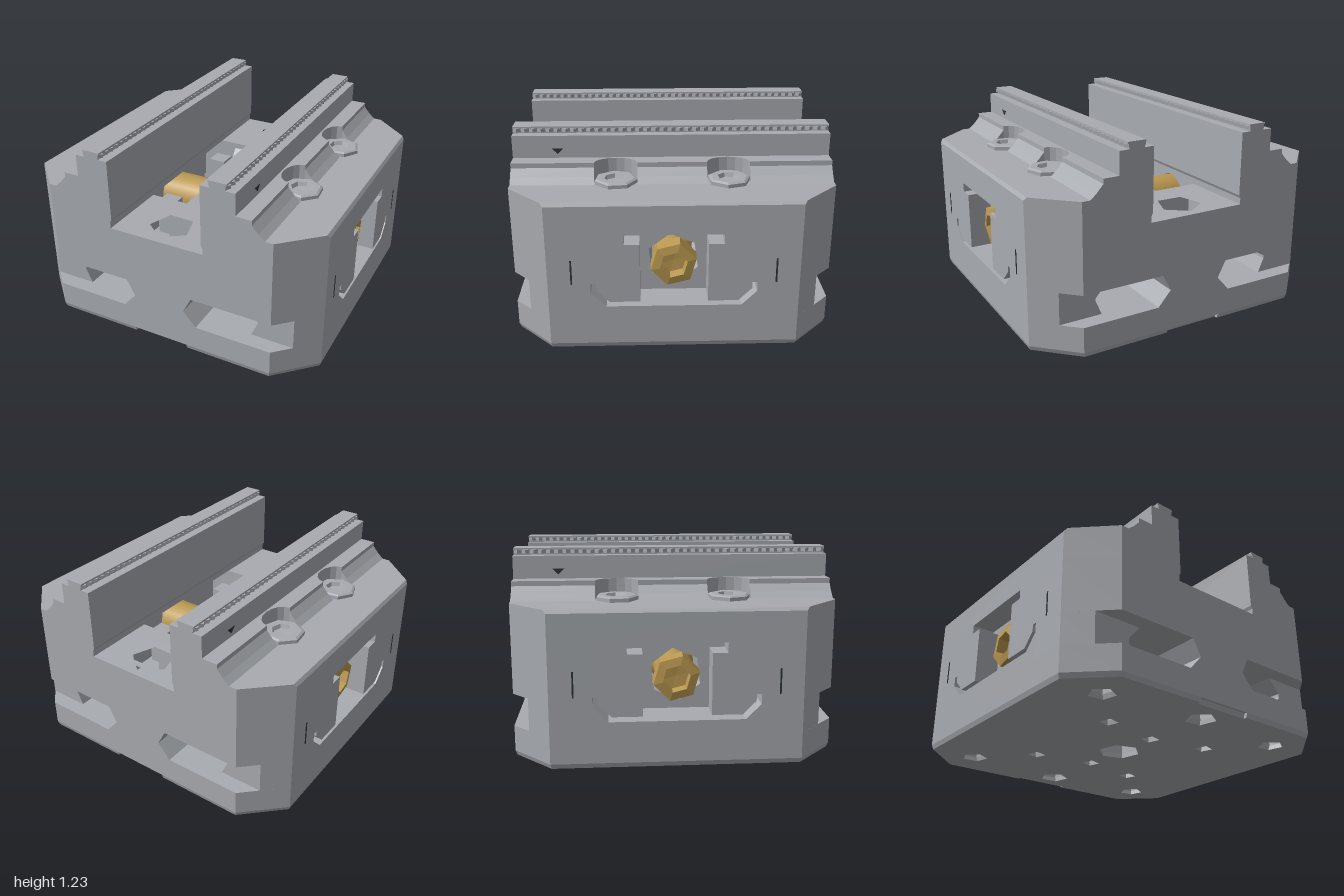
import * as THREE from 'three';

const mat = (name, color) => Object.assign(new THREE.MeshStandardMaterial({ color }), { name });

export function createModel() {
  const steel = mat('steel grey', 0xa8abb0);
  const brass = mat('brass', 0xba9850);
  const dark = mat('dark recess', 0x2b3634);
  const model = new THREE.Group();
  model.name = 'centringVise';

  // ---- helpers ----
  const add = (parent, name, geo, material = steel) => {
    const m = new THREE.Mesh(geo, material);
    m.name = name;
    parent.add(m);
    return m;
  };
  const box = (x0, x1, y0, y1, z0, z1) =>
    new THREE.BoxGeometry(x1 - x0, y1 - y0, z1 - z0).translate((x0 + x1) / 2, (y0 + y1) / 2, (z0 + z1) / 2);
  const ngon = (cx, cy, r, n = 6, turn = 0) => Array.from({ length: n }, (_, i) => {
    const a = turn + (i / n) * Math.PI * 2;
    return [cx + r * Math.cos(a), cy + r * Math.sin(a)];
  });
  const extrude = (pts, depth, holes = [], flip = 1, flipY = 1) => {
    const v = (list) => list.map(([a, b]) => new THREE.Vector2(a * flip, b * flipY));
    const s = new THREE.Shape(v(pts));
    holes.forEach((h) => s.holes.push(new THREE.Path(v(h))));
    return new THREE.ExtrudeGeometry(s, { depth, bevelEnabled: false });
  };
  // [x, z] outline raised in y; [x, y] outline run along z; [z, y] outline run along x
  const plan = (pts, y0, y1, holes) => extrude(pts, y1 - y0, holes, 1, -1).rotateX(-Math.PI / 2).translate(0, y0, 0);
  const front = (pts, z0, z1, holes) => extrude(pts, z1 - z0, holes).translate(0, 0, z0);
  const side = (pts, x0, x1, holes) => extrude(pts, x1 - x0, holes, -1).rotateY(Math.PI / 2).translate(x0, 0, 0);
  const lathe = (pts, n) => new THREE.LatheGeometry(pts.map(([r, y]) => new THREE.Vector2(r, y)), n);
  const flat = (geo) => {
    const g = geo.toNonIndexed();
    g.computeVertexNormals();
    return g;
  };
  const mirrorPts = (half) => [...half, ...half.map(([a, b]) => [-a, b]).reverse()];

  // ---- base plate with drilled underside ----
  const holes = [ngon(0, 0, 0.14, 6, 0.3)];
  for (const s of [-1, 1]) {
    holes.push(ngon(0, s * 0.78, 0.1, 5, 0.4), ngon(0, s * 0.32, 0.06, 4, 0.5));
    for (const t of [-1, 1]) holes.push(ngon(s * 0.7, t * 0.72, 0.085, 5, 0.4), ngon(s * 0.4, t * 0.4, 0.06, 4, 0.5));
  }
  const halfOct = [[0.76, 0.97], [1, 0.74], [1, -0.74], [0.76, -0.97]];
  const notched = [[0.19, 0.95], [0.19, 0.97], ...halfOct, [0.19, -0.97], [0.19, -0.95]];
  const foot = plan(mirrorPts(notched), 0, 0.03, holes);
  const fp = foot.attributes.position;
  for (let i = 0; i < fp.count; i++) { // bevelled lower edge
    if (fp.getY(i) < 0.01) fp.setXYZ(i, fp.getX(i) * 0.99, 0, fp.getZ(i) * 0.99);
  }
  foot.computeVertexNormals();
  add(model, 'foot', foot);
  add(model, 'base', plan(mirrorPts(halfOct), 0.03, 0.19, holes));
  add(model, 'tunnelFloor', box(-1, 1, 0.19, 0.28, -0.49, 0.49));

  // ---- front and back beams with clamping slots ----
  for (const turn of [0, Math.PI]) {
    const beam = new THREE.Group();
    beam.name = turn ? 'backBeam' : 'frontBeam';
    beam.rotation.y = turn;
    model.add(beam);
    const bolt = ngon(0, 0.78, 0.14, 5, 0.35);
    add(beam, 'upperBeam', plan(mirrorPts([[1, 0.49], [1, 0.74], [0.76, 0.97]]), 0.39, 0.74, [bolt]));
    add(beam, 'centrePillar', plan([[-0.175, 0.49], [0.175, 0.49], [0.175, 0.97], [-0.175, 0.97]], 0.19, 0.39, [bolt]));
    for (const s of [-1, 1]) {
      const fx = (pts) => pts.map(([x, y]) => [x * s, y]);
      // slanted slot ends
      add(beam, 'slotEndUpper', front(fx([[0.175, 0.285], [0.23, 0.39], [0.175, 0.39]]), 0.49, 0.97));
      add(beam, 'slotEndLower', front(fx([[0.175, 0.285], [0.175, 0.19], [0.26, 0.19]]), 0.49, 0.97));
      add(beam, 'outerEndUpper', front(fx([[0.63, 0.3], [0.63, 0.39], [0.55, 0.39]]), 0.49, 0.87));
      add(beam, 'outerEndLower', front(fx([[0.63, 0.28], [0.59, 0.19], [0.63, 0.19]]), 0.49, 0.87));
      // notched corner
      add(beam, 'corner', plan(fx([[0.63, 0.49], [1, 0.49], [1, 0.74], [0.864, 0.87], [0.63, 0.87]]), 0.19, 0.39));
    }
  }

  // ---- jaws, built on +x and turned for the other side ----
  for (const turn of [0, Math.PI]) {
    const jaw = new THREE.Group();
    jaw.name = turn ? 'rightJaw' : 'leftJaw';
    jaw.rotation.y = turn;
    model.add(jaw);

    // upright wall and base slab
    add(jaw, 'jawWall', front([[0.32, 0.74], [0.76, 0.74], [0.76, 0.94], [0.53, 0.94], [0.53, 1.19],
      [0.31, 1.19], [0.31, 0.8], [0.32, 0.78]], -0.97, 0.97));
    const wing = front([[0.76, 0.74], [1, 0.74], [1, 0.92], [0.985, 0.94], [0.76, 0.94]], -0.97, 0.97);
    const wp = wing.attributes.position;
    for (let i = 0; i < wp.count; i++) { // chamfered corners
      const z = 0.97 - (wp.getX(i) - 0.76) * 0.958;
      wp.setZ(i, Math.sign(wp.getZ(i)) * z);
    }
    wing.computeVertexNormals();
    add(jaw, 'jawWing', wing);

    // step with bolt recesses and the ramps between them
    const arc = (c) => Array.from({ length: 9 }, (_, i) => {
      const a = (i / 8) * Math.PI;
      return [0.63 - 0.09 * Math.sin(a), c + 0.13 * Math.cos(a)];
    });
    add(jaw, 'jawStep', plan([[0.53, -0.97], [0.53, 0.97], [0.63, 0.97], ...arc(0.34), ...arc(-0.34), [0.63, -0.97]], 0.94, 1.05));
    for (const [z0, z1] of [[-0.97, -0.47], [-0.21, 0.21], [0.47, 0.97]]) {
      add(jaw, 'jawRamp', front([[0.63, 0.94], [0.71, 0.94], [0.67, 0.975], [0.63, 1.02]], z0, z1));
    }

    // socket bolts
    for (const z of [-0.34, 0.34]) {
      const g = flat(lathe([[0.13, 0.94], [0.13, 0.962], [0.115, 0.97], [0.07, 0.97], [0.06, 0.945], [0, 0.942]], 7));
      add(jaw, 'bolt', g.rotateY(z).translate(0.665, 0, z));
    }

    // serrated gripping strip
    const teeth = [];
    const n = 39;
    for (let i = 0; i <= n * 2; i++) teeth.push([i % 2 ? 0.492 : 0.472, -0.97 + (1.94 * i) / (n * 2)]);
    const strip = [...teeth, ...teeth.map(([x, z]) => [0.84 - x, z]).reverse()];
    add(jaw, 'gripStem', box(0.37, 0.47, 1.19, 1.23, -0.97, 0.97));
    add(jaw, 'gripTeeth', plan(strip, 1.2, 1.222));
    add(jaw, 'gripCap', box(0.362, 0.478, 1.222, 1.233, -0.97, 0.97));
    add(jaw, 'wallMark', side([[0.66, 1.11], [0.73, 1.11], [0.695, 1.075]], 0.53, 0.533), dark);

    // carriage sliding in the tunnel
    const cheek = [[0.49, 0.43], [0.46, 0.43], [0.46, 0.39], [0.38, 0.31]];
    const screwHole = ngon(0, 0.52, 0.16, 6, 0.4);
    add(jaw, 'carriage', side(mirrorPts([[0.49, 0.74], ...cheek]), 0.47, 0.85, [screwHole]));
    for (const s of [-1, 1]) {
      const outer = [[0.29, 0.74], [0.49, 0.74], ...cheek, [0.2, 0.31], [0.2, 0.68], [0.29, 0.68]];
      add(jaw, 'carriageCheek', side(outer.map(([z, y]) => [z * s, y]), 0.85, 1));
      add(jaw, 'tunnelCorner', side([[0.4 * s, 0.28], [0.49 * s, 0.28], [0.49 * s, 0.37]], 0.47, 1));
      add(jaw, 'sideSlit', box(0.998, 1.003, 0.43, 0.585, s * 0.6 - 0.005, s * 0.6 + 0.005), dark);
      add(jaw, 'guideBlock', box(0.21, 0.33, 0.42, 0.66, s * 0.365 - 0.06, s * 0.365 + 0.06));
    }

    // spindle and its socket head
    const toX = (g) => g.rotateZ(-Math.PI / 2).translate(0, 0.51, 0);
    add(jaw, 'spindle', toX(lathe([[0.11, 0.1], [0.115, 0.13], [0.14, 0.17], [0.145, 0.2], [0.145, 0.5], [0.12, 0.52], [0.12, 0.82]], 16)), brass);
    add(jaw, 'spindleHead', toX(flat(lathe([[0.12, 0.8], [0.145, 0.83], [0.14, 0.92], [0.085, 0.93], [0.08, 0.86], [0, 0.855]], 6)).rotateY(0.25)), brass);
  }

  // ---- centre bearing ----
  add(model, 'bearingBlock', box(-0.12, 0.05, 0.315, 0.66, -0.27, 0.27));
  add(model, 'bearingGap', box(0.05, 0.12, 0.315, 0.66, -0.27, 0.27), dark);
  add(model, 'bearingSeat', box(-0.12, 0.12, 0.28, 0.315, -0.25, 0.25), dark);
  for (const s of [-1, 1]) {
    add(model, 'bearingPost', box(-0.12, 0.12, 0.315, 0.68, s * 0.335 - 0.065, s * 0.335 + 0.065));
    // sloped end of the central opening
    add(model, 'openingRamp', side([[s * 0.4, 0.42], [s * 0.49, 0.42], [s * 0.49, 0.7], [s * 0.4, 0.58]], -0.21, 0.21));
  }
  return model;
}
